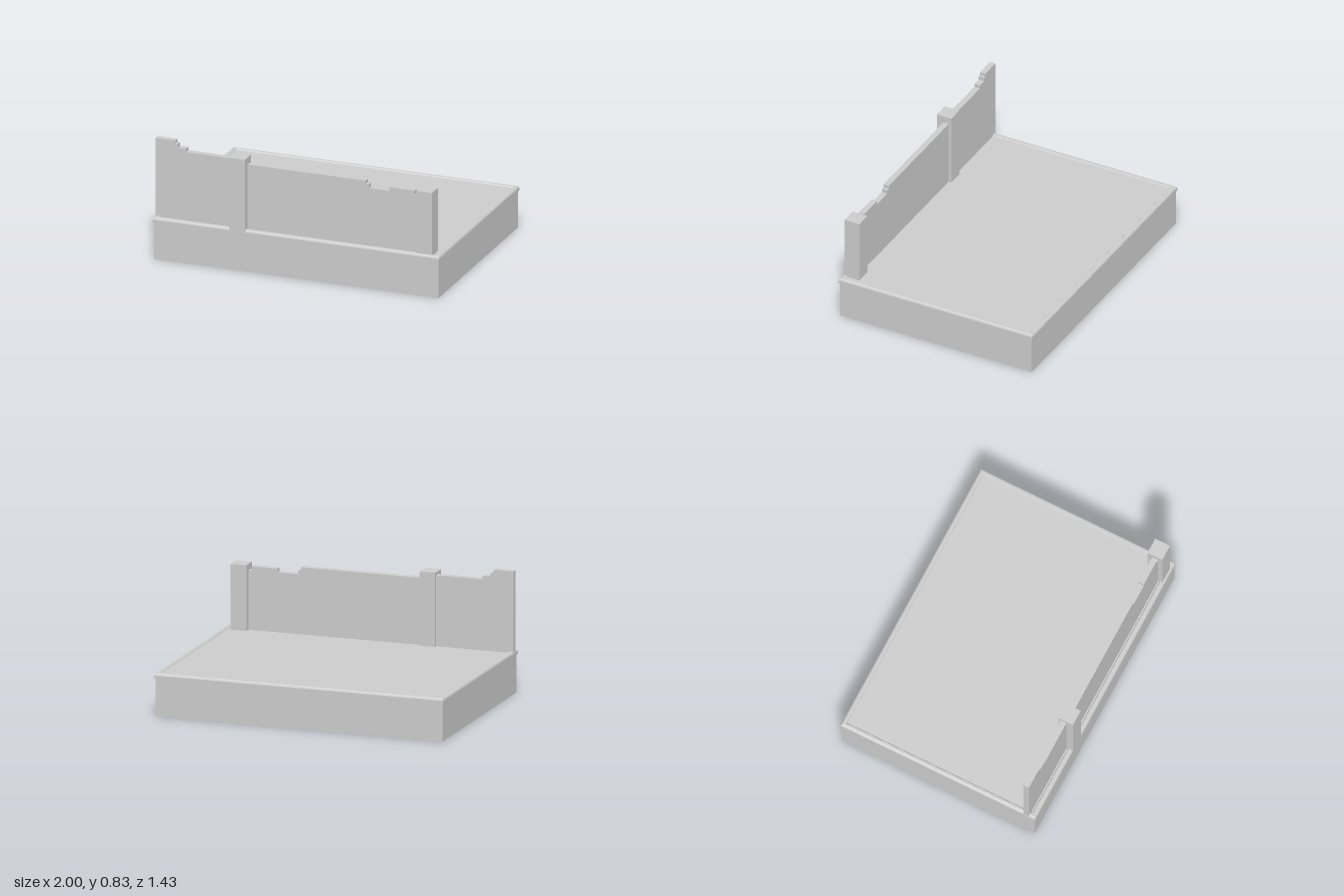
import * as THREE from 'three';

const material = new THREE.MeshStandardMaterial({ color: 0xcccccc, flatShading: true, side: THREE.DoubleSide });
const HALF_X = 1, HALF_Z = 0.713;

function part(name, geometry, parent) {
  const mesh = new THREE.Mesh(geometry, material);
  mesh.name = name;
  parent.add(mesh);
  return mesh;
}

// Sweeps a profile of [inset, y] points around the rectangle with mitred corners
function rectangularSweep(profile) {
  const corners = [[1, 1], [1, -1], [-1, -1], [-1, 1]];
  const positions = [];
  const point = (k, [inset, y]) => {
    const [sx, sz] = corners[k % 4];
    return [sx * (HALF_X - inset), y, sz * (HALF_Z - inset)];
  };
  for (let i = 0; i < profile.length - 1; i++) {
    for (let k = 0; k < 4; k++) {
      const a = point(k, profile[i]), b = point(k + 1, profile[i]);
      const c = point(k + 1, profile[i + 1]), d = point(k, profile[i + 1]);
      positions.push(...a, ...b, ...c, ...a, ...c, ...d);
    }
  }
  const geometry = new THREE.BufferGeometry();
  geometry.setAttribute('position', new THREE.Float32BufferAttribute(positions, 3));
  geometry.computeVertexNormals();
  return geometry;
}

// Upright slab whose broken top edge follows the given [x, y] steps
function brokenWall(name, bottom, top, parent) {
  const outline = [[top[0][0], bottom], [top[top.length - 1][0], bottom], ...[...top].reverse()];
  const shape = new THREE.Shape(outline.map(([x, y]) => new THREE.Vector2(x, y)));
  const geometry = new THREE.ExtrudeGeometry(shape, { depth: 0.04, bevelEnabled: false });
  part(name, geometry, parent).position.z = 0.627;
}

// Square post, open underneath
function post(name, x, z, bottom, top, parent) {
  const height = top - bottom;
  const box = new THREE.BoxGeometry(0.11, height, 0.108).toNonIndexed();
  // Drop the bottom face (fourth of six, six vertices each)
  const geometry = new THREE.BufferGeometry();
  for (const key of ['position', 'normal']) {
    const values = Array.from(box.getAttribute(key).array);
    values.splice(54, 18);
    geometry.setAttribute(key, new THREE.Float32BufferAttribute(values, 3));
  }
  part(name, geometry, parent).position.set(x, bottom + height / 2, z);
}

export function createModel() {
  const model = new THREE.Group();
  model.name = 'ruinedTerrace';

  // Hollow plinth, open underneath
  part('plinth', rectangularSweep([[0.007, 0], [0.007, 0.258]]), model);

  // Overhanging rim with a rounded outer edge
  part('rim', rectangularSweep([
    [0.035, 0.256], [0, 0.256], [0, 0.274], [0.003, 0.282], [0.008, 0.287],
    [0.014, 0.29], [0.03, 0.29], [0.037, 0.281],
  ]), model);

  // Floor inside the rim
  const floor = part('floor', new THREE.PlaneGeometry(2 * (HALF_X - 0.036), 2 * (HALF_Z - 0.036)), model);
  floor.rotation.x = -Math.PI / 2;
  floor.position.y = 0.281;

  // Broken front walls
  const walls = new THREE.Group();
  walls.name = 'frontWalls';
  model.add(walls);
  brokenWall('shortWall', 0.27, [
    [-0.998, 0.827], [-0.86, 0.827], [-0.86, 0.805], [-0.842, 0.805],
    [-0.842, 0.78], [-0.785, 0.78], [-0.785, 0.757], [-0.44, 0.757],
  ], walls);
  brokenWall('longWall', 0.27, [
    [-0.38, 0.73], [0.47, 0.73], [0.47, 0.708], [0.492, 0.708], [0.492, 0.682],
    [0.632, 0.682], [0.632, 0.707], [0.81, 0.707], [0.81, 0.68], [0.85, 0.68],
  ], walls);

  // Posts between and at the end of the walls
  post('middlePost', -0.41, 0.661, 0.256, 0.778, model);
  post('endPost', 0.89, 0.644, 0.281, 0.72, model);

  return model;
}
